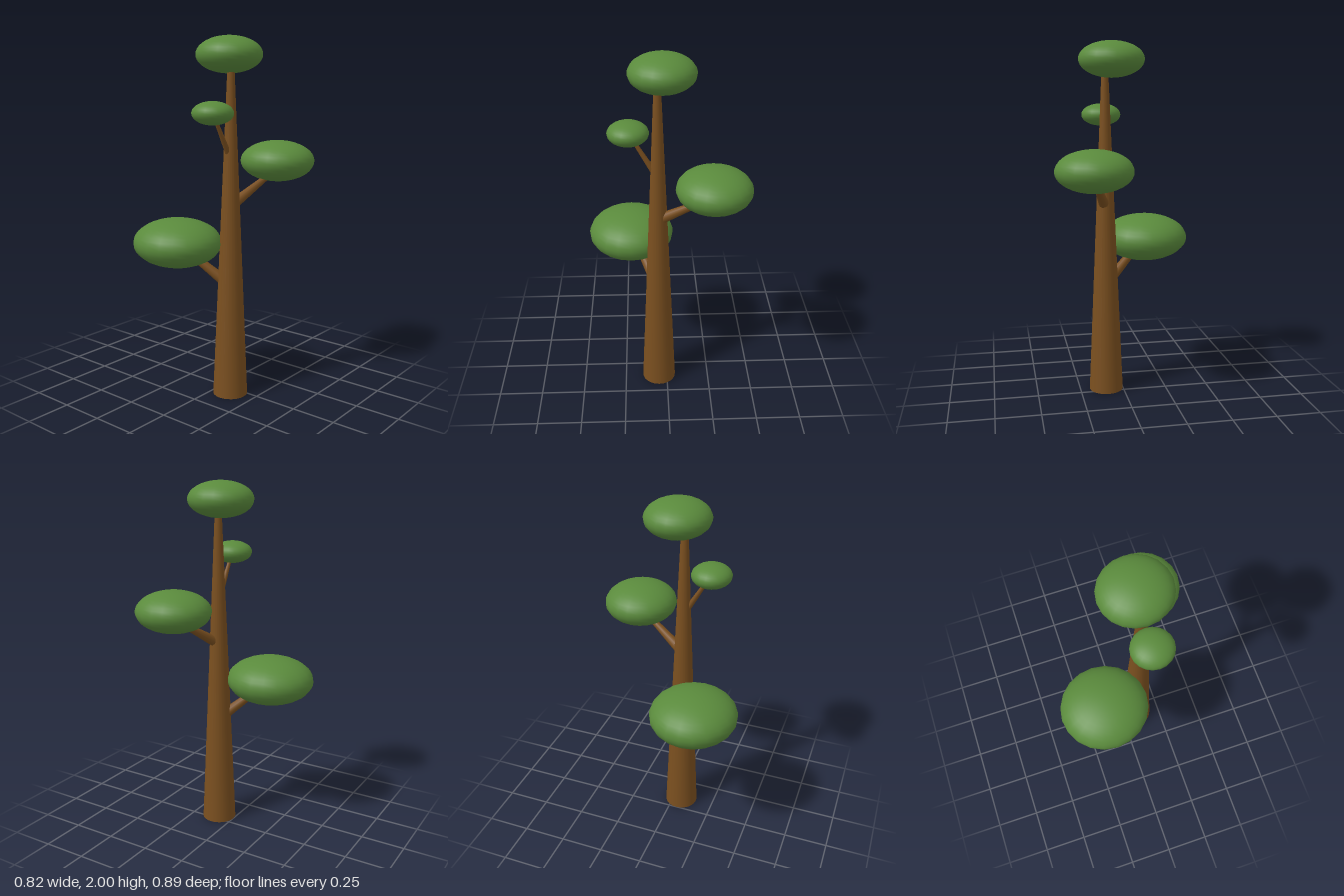
import * as THREE from 'three';

export function createModel() {
  const tree = new THREE.Group();
  tree.name = 'tree';
  const bark = new THREE.MeshStandardMaterial({ color: 0x7a4f1f });
  const leaf = new THREE.MeshStandardMaterial({ color: 0x5a8a3c });
  const up = new THREE.Vector3(0, 1, 0);

  // Tapered round limb between two points
  function limb(name, from, to, r0, r1, sides) {
    const a = new THREE.Vector3(...from), b = new THREE.Vector3(...to);
    const dir = b.clone().sub(a);
    const mesh = new THREE.Mesh(new THREE.CylinderGeometry(r1, r0, dir.length(), sides), bark);
    mesh.position.copy(a).add(b).multiplyScalar(0.5);
    mesh.quaternion.setFromUnitVectors(up, dir.normalize());
    mesh.name = name;
    tree.add(mesh);
  }

  // Flattened leaf cluster, slightly narrower in depth
  function foliage(name, center, radius, height) {
    const mesh = new THREE.Mesh(new THREE.SphereGeometry(1, 20, 20), leaf);
    mesh.scale.set(radius, height, radius * 0.967);
    mesh.position.set(...center);
    mesh.name = name;
    tree.add(mesh);
  }

  limb('trunk', [0.097, 0, 0.048], [0.097, 1.86, 0.048], 0.098, 0.018, 24);

  // Branches, each ending inside its leaf cluster
  limb('lowerBranch', [0.09, 0.64, 0.05], [-0.13, 0.84, 0.18], 0.033, 0.018, 12);
  limb('middleBranch', [0.1, 1.09, 0.05], [0.2, 1.275, -0.245], 0.032, 0.012, 12);
  limb('upperBranch', [0.097, 1.345, 0.05], [0.097, 1.6, 0.2], 0.018, 0.008, 12);

  foliage('lowerFoliage', [-0.16, 0.875, 0.2], 0.252, 0.136);
  foliage('middleFoliage', [0.2, 1.32, -0.245], 0.21, 0.115);
  foliage('upperFoliage', [0.097, 1.597, 0.2], 0.113, 0.063);
  foliage('crownFoliage', [0.064, 1.9, 0.022], 0.183, 0.1);

  return tree;
}
